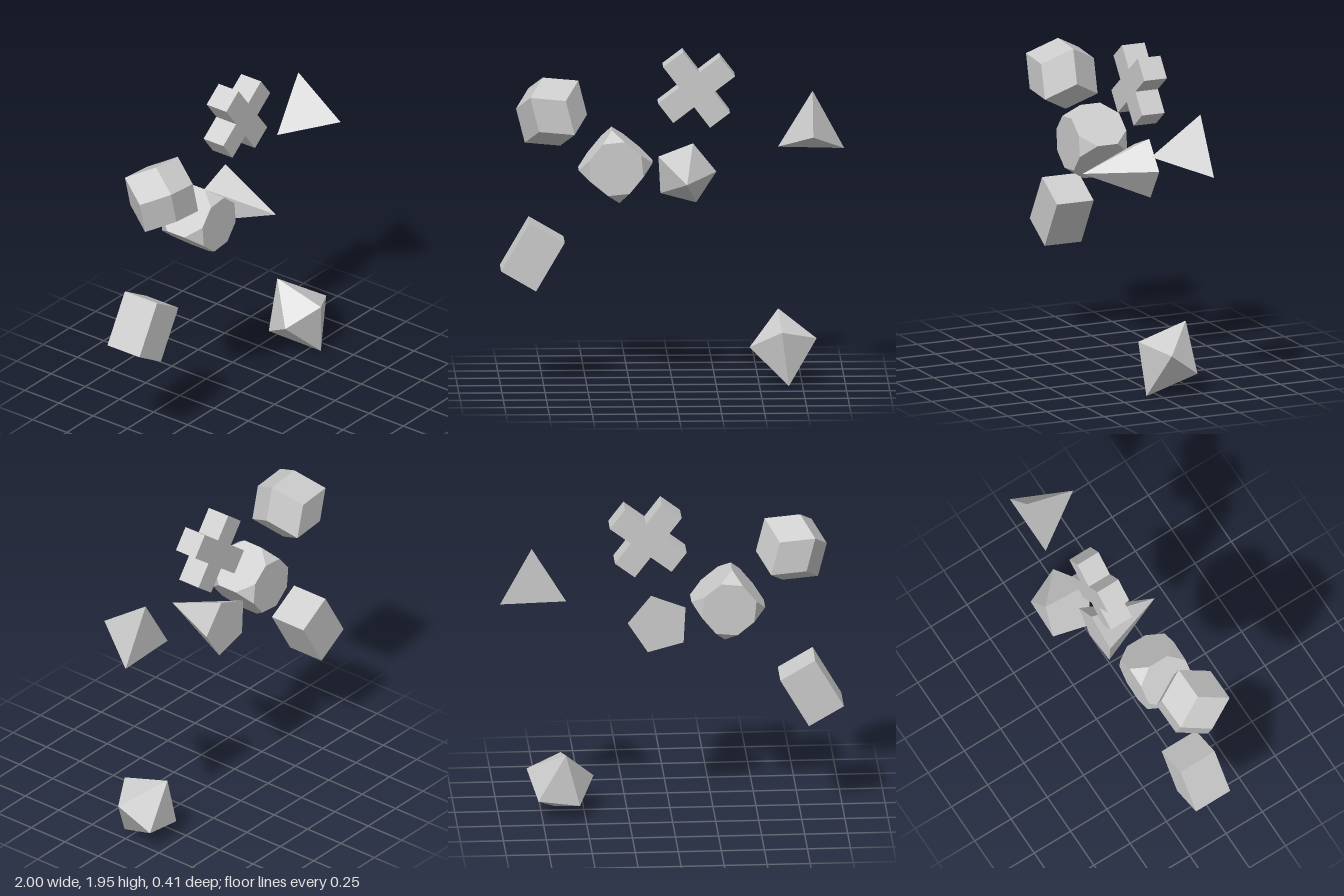
import * as THREE from 'three';
import { ConvexGeometry } from 'three/addons/geometries/ConvexGeometry.js';

const BACK = -0.205; // every solid lies on this plane
const rad = THREE.MathUtils.degToRad;
const V = (x, y, z) => new THREE.Vector3(x, y, z);

// n points on a circle facing +z, first one at the given angle
function ring(n, r, z, startDeg = 0) {
  return Array.from({ length: n }, (_, i) => {
    const a = rad(startDeg) + (i / n) * Math.PI * 2;
    return V(r * Math.cos(a), r * Math.sin(a), z);
  });
}

// all sign combinations of a point
function signs(x, y, z) {
  const out = [];
  for (const a of [-1, 1]) for (const b of [-1, 1]) for (const c of [-1, 1]) out.push(V(a * x, b * y, c * z));
  return out;
}

export function createModel() {
  const group = new THREE.Group();
  const material = new THREE.MeshStandardMaterial({ color: 0xcccccc, flatShading: true });

  // turn a solid about z, then set it down on the back plane
  function add(name, geometry, x, y, turnDeg = 0) {
    geometry.rotateZ(rad(turnDeg));
    geometry.computeBoundingBox();
    const mesh = new THREE.Mesh(geometry, material);
    mesh.name = name;
    mesh.position.set(x, y, BACK - geometry.boundingBox.min.z);
    group.add(mesh);
  }

  // cuboid
  add('cuboid', new THREE.BoxGeometry(0.235, 0.33, 0.235), -0.813, 0.762, -30.3);

  // extruded cross
  const w = 0.0725, l = 0.225;
  const outline = [];
  for (let i = 0; i < 4; i++) {
    for (const [px, py] of [[w, w], [w, l], [-w, l]]) {
      outline.push(new THREE.Vector2(px, py).rotateAround(new THREE.Vector2(), i * Math.PI / 2));
    }
  }
  add('cross', new THREE.ExtrudeGeometry(new THREE.Shape(outline), { depth: 0.145, bevelEnabled: false }),
    0.139, 1.725, 37.2);

  // pyramids pointing forwards
  add('tetrahedron', new ConvexGeometry([...ring(3, 0.222, 0, 88.5), V(0, 0, 0.314)]), 0.811, 1.47);
  add('pentagonalPyramid', new ConvexGeometry([...ring(5, 0.183, 0, 75), V(0, 0, 0.405)]), 0.076, 1.21);

  // truncated cube: octagons with corner triangles
  const s = 0.1525, k = s * (Math.SQRT2 - 1);
  add('truncatedCube', new ConvexGeometry([...signs(s, s, k), ...signs(s, k, s), ...signs(k, s, s)]),
    -0.332, 1.289, -39.3);

  // rhombic dodecahedron lying on a face
  const u = 0.1195, t = 2 * u;
  const rhombic = new ConvexGeometry([...signs(u, u, u),
    V(t, 0, 0), V(-t, 0, 0), V(0, t, 0), V(0, -t, 0), V(0, 0, t), V(0, 0, -t)]);
  rhombic.rotateY(Math.PI / 4);
  add('rhombicDodecahedron', rhombic, -0.703, 1.607, -40.5);

  // pentagonal bipyramid tipped back onto a face
  const r = 0.2065, h = 0.249;
  const bipyramid = new ConvexGeometry([...ring(5, r, 0, -90), V(0, 0, h), V(0, 0, -h)]);
  bipyramid.rotateX(-Math.PI / 2 - Math.atan(r * Math.cos(Math.PI / 5) / h));
  add('pentagonalBipyramid', bipyramid, 0.644, 0.208, 7.5);

  return group;
}
